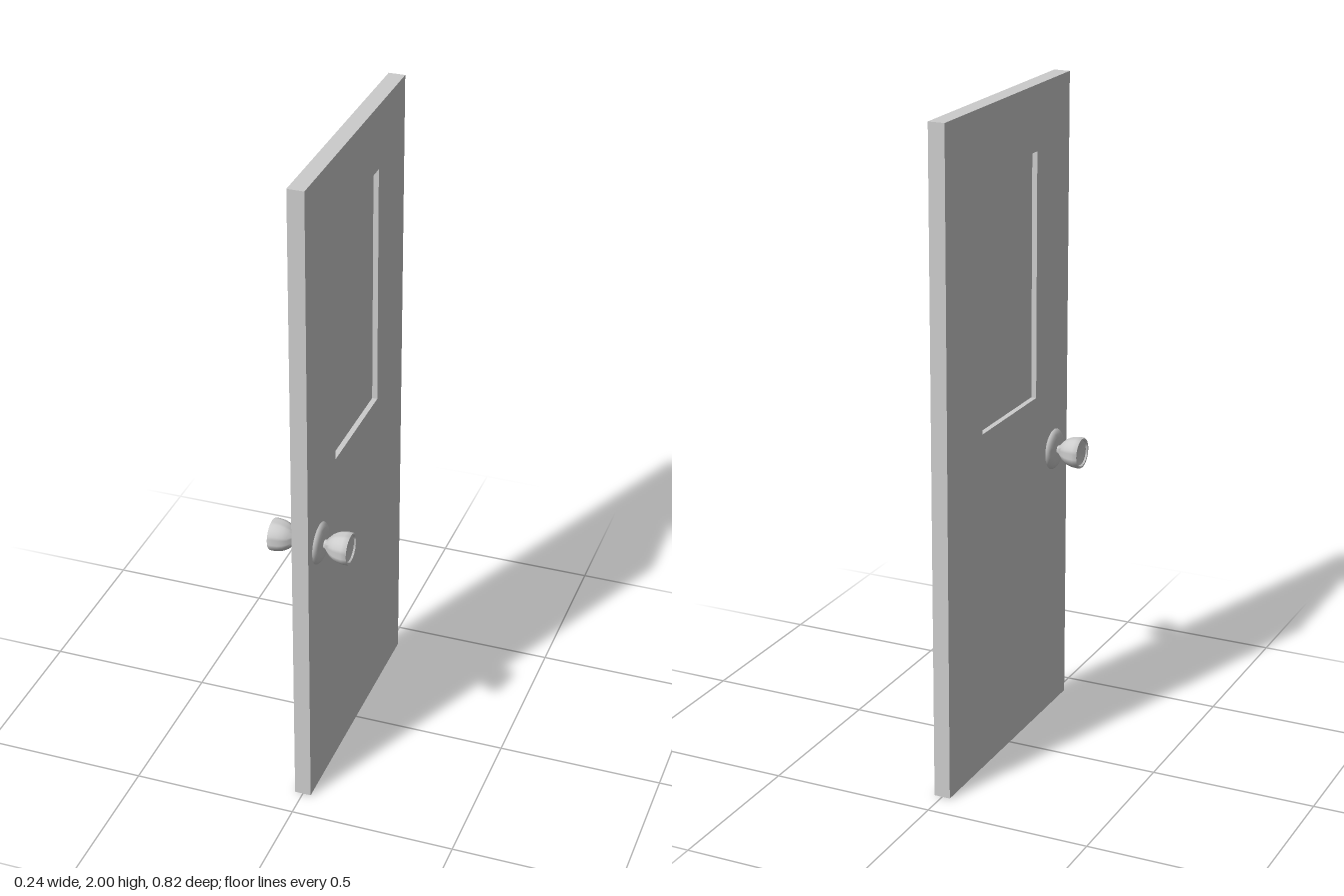
import * as THREE from 'three';
import { toCreasedNormals } from 'three/addons/utils/BufferGeometryUtils.js';

const DOOR = { halfWidth: 0.41, height: 2, thickness: 0.05 };
const PANEL = { halfWidth: 0.183, bottom: 1.055, top: 1.805, thickness: 0.018 };
const KNOB = { y: 0.852, z: 0.315 };

// Rectangle corners, anticlockwise
const rect = (hw, y0, y1) =>
  [[-hw, y0], [hw, y0], [hw, y1], [-hw, y1]].map(([x, y]) => new THREE.Vector2(x, y));

// Turned part whose axis points out of the door along +x
function turned(profile) {
  const points = profile.map(([r, d]) => new THREE.Vector2(r, d));
  const geometry = new THREE.LatheGeometry(points, 32);
  geometry.rotateZ(-Math.PI / 2);
  return toCreasedNormals(geometry, 0.7);
}

export function createModel() {
  const grey = new THREE.MeshStandardMaterial({ color: 0xcccccc });
  grey.name = 'light grey';
  const model = new THREE.Group();
  model.name = 'door';

  const add = (parent, name, geometry) => {
    const mesh = new THREE.Mesh(geometry, grey);
    mesh.name = name;
    parent.add(mesh);
    return mesh;
  };

  // Door leaf with an opening for the recessed panel
  const outline = new THREE.Shape(rect(DOOR.halfWidth, 0, DOOR.height));
  outline.holes.push(new THREE.Path(rect(PANEL.halfWidth, PANEL.bottom, PANEL.top).reverse()));
  const leaf = new THREE.ExtrudeGeometry(outline, { depth: DOOR.thickness, bevelEnabled: false });
  leaf.translate(0, 0, -DOOR.thickness / 2);
  leaf.rotateY(-Math.PI / 2);
  add(model, 'doorLeaf', leaf);

  // Panel set back from both faces
  const height = PANEL.top - PANEL.bottom;
  add(model, 'recessedPanel', new THREE.BoxGeometry(PANEL.thickness, height, PANEL.halfWidth * 2))
    .position.y = PANEL.bottom + height / 2;

  // Domed rose and flared knob with a dished face: [radius, distance from door centre]
  const rose = turned([
    [0.064, 0.024], [0.062, 0.028], [0.057, 0.033], [0.049, 0.037], [0.038, 0.039], [0, 0.04],
  ]);
  const knob = turned([
    [0.012, 0.038], [0.014, 0.045], [0.023, 0.053], [0.034, 0.064], [0.042, 0.077],
    [0.046, 0.09], [0.048, 0.104], [0.048, 0.117], [0.046, 0.12],
    [0.041, 0.12], [0.038, 0.115], [0.025, 0.111], [0, 0.109],
  ]);

  // One handle on each face
  for (const side of [1, -1]) {
    const handle = new THREE.Group();
    handle.name = side > 0 ? 'leftHandle' : 'rightHandle';
    add(handle, 'rose', rose);
    add(handle, 'knob', knob);
    handle.position.set(0, KNOB.y, KNOB.z);
    if (side < 0) handle.rotation.y = Math.PI;
    model.add(handle);
  }

  return model;
}
